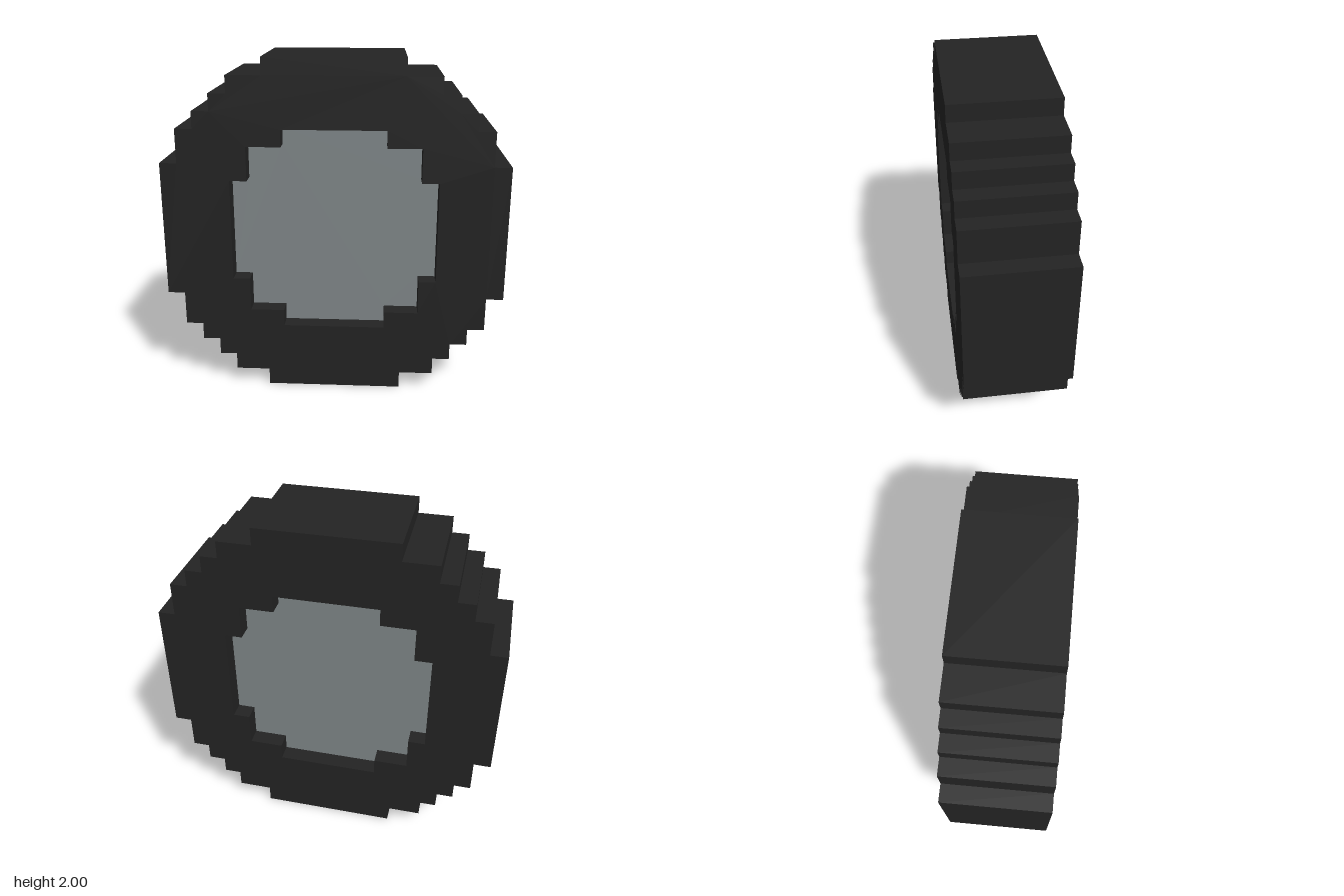
import * as THREE from 'three';

// Stepped outline: mirrors a first-quadrant staircase (from +x to +y) into a closed loop
function steppedLoop(quadrant) {
  const mirror = (sx, sy) => quadrant.map(([x, y]) => new THREE.Vector2(x * sx, y * sy));
  return [
    ...mirror(1, 1),
    ...mirror(-1, 1).reverse(),
    ...mirror(-1, -1),
    ...mirror(1, -1).reverse(),
  ];
}

// Extrusion centred on z = 0
function slab(shape, depth) {
  const geometry = new THREE.ExtrudeGeometry(shape, { depth, bevelEnabled: false });
  return geometry.translate(0, 0, -depth / 2);
}

export function createModel() {
  const rubber = new THREE.MeshStandardMaterial({ name: 'black rubber', color: 0x232323 });
  const metal = new THREE.MeshStandardMaterial({ name: 'grey metal', color: 0x7f8688 });

  const outer = steppedLoop([
    [1, 0.4], [0.9, 0.4], [0.9, 0.6], [0.8, 0.6], [0.8, 0.7], [0.7, 0.7],
    [0.7, 0.8], [0.6, 0.8], [0.6, 0.9], [0.4, 0.9], [0.4, 1],
  ]);
  const inner = steppedLoop([[0.6, 0.3], [0.5, 0.3], [0.5, 0.5], [0.3, 0.5], [0.3, 0.6]]);

  // Blocky tyre with a stepped opening
  const tyreShape = new THREE.Shape(outer);
  tyreShape.holes.push(new THREE.Path(inner));
  const tyre = new THREE.Mesh(slab(tyreShape, 0.6), rubber);
  tyre.name = 'tyre';

  // Hub disc, recessed on both sides
  const hub = new THREE.Mesh(slab(new THREE.Shape(inner), 0.4), metal);
  hub.name = 'hub';

  const wheel = new THREE.Group();
  wheel.name = 'wheel';
  wheel.add(tyre, hub);
  wheel.position.y = 1;

  const model = new THREE.Group();
  model.add(wheel);
  return model;
}
